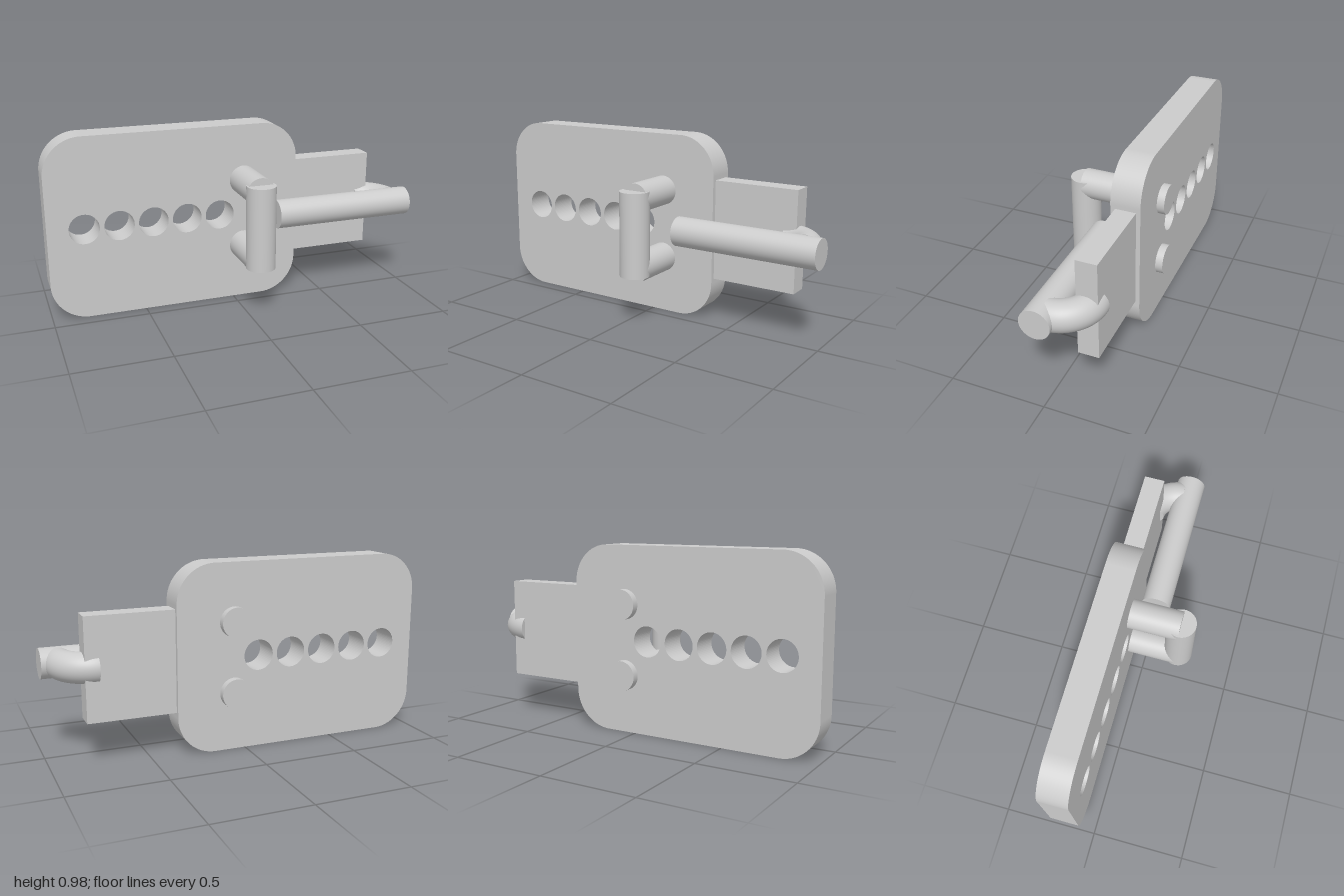
import * as THREE from 'three';

export function createModel() {
  const model = new THREE.Group();
  const material = new THREE.MeshStandardMaterial({ color: 0xcccccc });
  const midY = 0.49, rod = 0.078;

  const add = (name, geometry, x, y, z) => {
    const mesh = new THREE.Mesh(geometry, material);
    mesh.name = name;
    mesh.position.set(x, y, z);
    model.add(mesh);
    return mesh;
  };
  const rodGeometry = (length) => new THREE.CylinderGeometry(rod, rod, length, 64);

  // Rounded back plate with a row of round holes
  const x0 = -1, x1 = 0.365, h = 0.977, r = 0.2;
  const plate = new THREE.Shape();
  plate.moveTo(x0 + r, 0);
  plate.absarc(x1 - r, r, r, -Math.PI / 2, 0);
  plate.absarc(x1 - r, h - r, r, 0, Math.PI / 2);
  plate.absarc(x0 + r, h - r, r, Math.PI / 2, Math.PI);
  plate.absarc(x0 + r, r, r, Math.PI, Math.PI * 1.5);
  for (let i = 0; i < 5; i++) {
    const hole = new THREE.Path();
    hole.absarc(-0.808 + i * 0.183, midY, 0.08, 0, Math.PI * 2, true);
    plate.holes.push(hole);
  }
  add('backPlate', new THREE.ExtrudeGeometry(plate, {
    depth: 0.155, bevelEnabled: false, curveSegments: 32,
  }), 0, 0, -0.231);

  // Sliding bolt tongue
  add('boltTongue', new THREE.BoxGeometry(0.52, 0.53, 0.108), 0.56, midY, -0.155);

  // Handle: two posts through the plate and a vertical grip
  for (const side of [-1, 1]) {
    add(side < 0 ? 'lowerHandlePost' : 'upperHandlePost',
      rodGeometry(0.463).rotateX(Math.PI / 2), 0.06, midY + side * 0.185, -0.039);
  }
  add('handleGrip', rodGeometry(0.448), 0.06, midY, 0.193);

  // Lever bar in front of the tongue
  add('leverBar', rodGeometry(0.785).rotateZ(Math.PI / 2), 0.6075, midY, 0.02);

  // Curved elbow joining the lever to the tongue, with flat ends
  const bend = 0.157;
  add('leverElbow', new THREE.TorusGeometry(bend, rod, 48, 32, Math.PI / 2)
    .rotateX(-Math.PI / 2), 0.75, midY, 0);
  const cap = new THREE.CircleGeometry(rod, 48);
  add('elbowTongueCap', cap.clone().rotateY(-Math.PI / 2), 0.75, midY, -bend);
  add('elbowLeverCap', cap, 0.75 + bend, midY, 0);

  return model;
}
